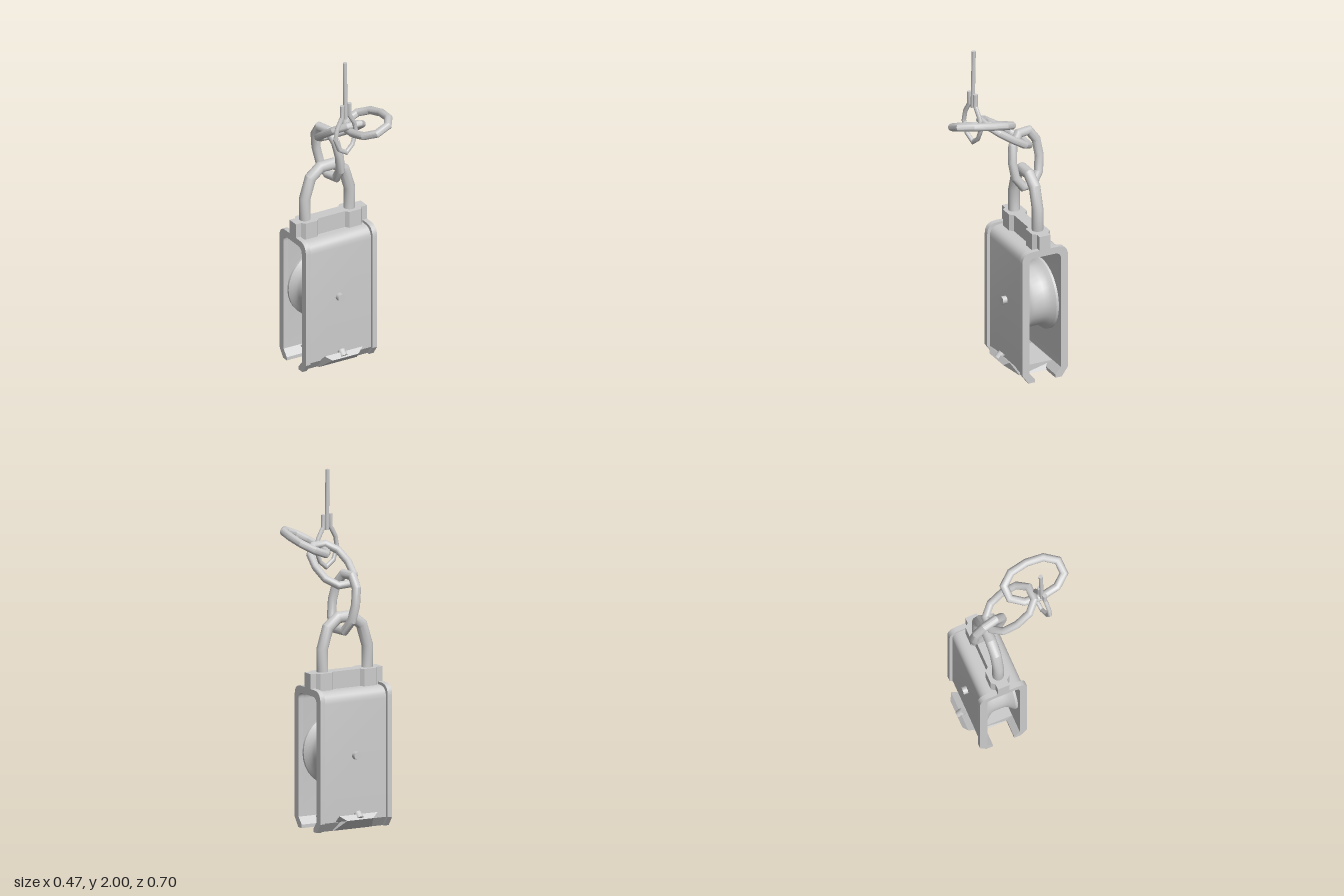
import * as THREE from 'three';
import { toCreasedNormals } from 'three/addons/utils/BufferGeometryUtils.js';

const material = new THREE.MeshStandardMaterial({ color: 0xcccccc });
const CZ = -0.155; // depth of the housing centre

function part(parent, name, geometry, x = 0, y = 0, z = 0) {
  const mesh = new THREE.Mesh(geometry, material);
  mesh.name = name;
  mesh.position.set(x, y, z);
  parent.add(mesh);
  return mesh;
}

// Round bar with mitred corners along a flat path in the xy plane
function bar(points, r, closed, sides = 16) {
  const pts = points.map(p => new THREE.Vector2(...p));
  const n = pts.length, pos = [], idx = [];
  pts.forEach((p, i) => {
    const prev = closed || i > 0 ? pts[(i + n - 1) % n] : null;
    const next = closed || i < n - 1 ? pts[(i + 1) % n] : null;
    const a = prev ? p.clone().sub(prev).normalize() : next.clone().sub(p).normalize();
    const b = next ? next.clone().sub(p).normalize() : a;
    const t = a.clone().add(b).normalize();
    const s = r / Math.max(0.5, t.dot(a));
    for (let j = 0; j < sides; j++) {
      const q = j / sides * Math.PI * 2, c = Math.cos(q) * s;
      pos.push(p.x - t.y * c, p.y + t.x * c, Math.sin(q) * r);
    }
  });
  for (let i = 0; i < (closed ? n : n - 1); i++) {
    const k = ((i + 1) % n) * sides;
    for (let j = 0; j < sides; j++) {
      const m = (j + 1) % sides, a = i * sides;
      idx.push(a + j, a + m, k + j, a + m, k + m, k + j);
    }
  }
  if (!closed) {
    const e = (n - 1) * sides;
    for (let j = 1; j < sides - 1; j++) idx.push(0, j + 1, j, e, e + j, e + j + 1);
  }
  const g = new THREE.BufferGeometry();
  g.setAttribute('position', new THREE.Float32BufferAttribute(pos, 3));
  g.setIndex(idx);
  return toCreasedNormals(g, 0.5);
}

// Closed oval link; the quarter outline is mirrored into four quadrants
function linkGeometry(w, l, r, quarter) {
  const right = [...quarter, ...quarter.filter(q => q[1] > 0).reverse().map(([x, y]) => [x, -y])];
  const all = [...right, ...right.map(([x, y]) => [-x, -y])];
  return bar(all.map(([x, y]) => [x * w, y * l]), r, true);
}

// Extrude a (z, y) outline along x, centred on x = 0
function acrossX(shape, width) {
  const g = new THREE.ExtrudeGeometry(shape, { depth: width, bevelEnabled: false, curveSegments: 5 });
  g.translate(0, 0, -width / 2).rotateY(-Math.PI / 2);
  return toCreasedNormals(g, 0.6);
}

// Inverted U with feet turned inward
function housingShape(h, top) {
  const s = new THREE.Shape();
  s.moveTo(h, 0.055);
  s.lineTo(h, top - 0.065);
  s.quadraticCurveTo(h, top, h - 0.065, top);
  s.lineTo(-h + 0.065, top);
  s.quadraticCurveTo(-h, top, -h, top - 0.065);
  s.lineTo(-h, 0.055);
  s.lineTo(-h + 0.04, 0);
  s.lineTo(-0.065, 0);
  s.lineTo(-0.065, 0.02);
  s.lineTo(-0.1, 0.06);
  s.lineTo(-0.1, 0.74);
  s.quadraticCurveTo(-0.1, 0.78, -0.06, 0.78);
  s.lineTo(0.06, 0.78);
  s.quadraticCurveTo(0.1, 0.78, 0.1, 0.74);
  s.lineTo(0.1, 0.06);
  s.lineTo(0.065, 0.02);
  s.lineTo(0.065, 0);
  s.lineTo(h - 0.04, 0);
  s.closePath();
  return s;
}

export function createModel() {
  const model = new THREE.Group();
  model.name = 'pulleyBlock';

  // Housing with raised rims on both open sides
  part(model, 'housing', acrossX(housingShape(0.128, 0.805), 0.412), 0, 0, CZ);
  for (const s of [-1, 1])
    part(model, 'housingRim', acrossX(housingShape(0.145, 0.82), 0.03), s * 0.22, 0, CZ);

  // Saddle block with two wider sockets for the shackle
  const half = [[0.235, 0.035], [0.2, 0.035], [0.183, 0.057], [0.105, 0.057], [0.088, 0.035]];
  const upper = [...half, ...half.map(([x, z]) => [-x, z]).reverse()];
  const outline = [...upper, ...upper.map(([x, z]) => [-x, -z])];
  const saddle = new THREE.ExtrudeGeometry(
    new THREE.Shape(outline.map(p => new THREE.Vector2(...p))), { depth: 0.113, bevelEnabled: false });
  part(model, 'saddle', saddle.rotateX(-Math.PI / 2), 0, 0.792, CZ);

  // Grooved wheel and axle
  const profile = [[0, -0.1], [0.21, -0.1], [0.21, -0.086], [0.195, -0.068], [0.182, -0.05], [0.177, -0.03],
    [0.177, 0.03], [0.182, 0.05], [0.195, 0.068], [0.21, 0.086], [0.21, 0.1], [0, 0.1]];
  const wheel = new THREE.LatheGeometry(profile.map(p => new THREE.Vector2(...p)), 32);
  part(model, 'wheel', toCreasedNormals(wheel.rotateX(Math.PI / 2), 0.6), 0, 0.43, CZ);
  part(model, 'axle', new THREE.CylinderGeometry(0.023, 0.023, 0.312, 16).rotateX(Math.PI / 2), -0.005, 0.43, CZ);

  // Bottom tray with upturned flaps, outer flap corners cut back
  const side = [[0.105, 0.003], [0.19, 0.07], [0.17, 0.098], [0.125, 0.058]];
  const tray = acrossX(new THREE.Shape([...side, ...side.map(([z, y]) => [-z, y]).reverse()]
    .map(p => new THREE.Vector2(...p))), 0.25);
  const tp = tray.attributes.position;
  for (let i = 0; i < tp.count; i++)
    if (Math.abs(tp.getZ(i)) > 0.18) tp.setX(i, Math.sign(tp.getX(i)) * 0.085);
  tray.computeVertexNormals();
  part(model, 'bottomTray', tray, 0, 0, CZ);
  for (const s of [-1, 1]) {
    const bolt = part(model, 'flapBolt', new THREE.CylinderGeometry(0.022, 0.022, 0.04, 12), -0.005, 0.087, CZ + s * 0.165);
    bolt.rotation.x = -s * 0.8;
  }

  // Shackle through the saddle
  part(model, 'shackle', linkGeometry(0.147, 0.24, 0.033,
    [[0.3, 1], [0.75, 0.78], [1, 0.28]]), -0.008, 0.967, CZ);

  // Loose chain links: centre, long direction, width direction, half width, half length, bar radius
  const quarter = [[0.38, 1], [0.87, 0.6], [1, 0]];
  const links = [
    [[-0.005, 1.29, -0.153], [-0.17, 1, 0], [0.22, 0, 1], 0.097, 0.158, 0.026],
    [[-0.005, 1.484, -0.018], [0.03, 0.6, 0.88], [1, 0, 0.05], 0.107, 0.163, 0.022],
    [[0.066, 1.59, 0.16], [0, 0.18, 1], [1, 0.4, 0], 0.105, 0.169, 0.023],
  ];
  for (const [c, long, wide, w, l, r] of links) {
    const y = new THREE.Vector3(...long).normalize();
    const z = new THREE.Vector3(...wide).cross(y).normalize();
    const x = y.clone().cross(z);
    const link = part(model, 'chainLink', linkGeometry(w, l, r, quarter), ...c);
    link.quaternion.setFromRotationMatrix(new THREE.Matrix4().makeBasis(x, y, z));
  }

  // Wire eye and hanging rod
  const eye = part(model, 'wireEye', bar([[-0.028, 1.74], [-0.028, 1.665], [-0.065, 1.605], [-0.078, 1.54],
    [-0.05, 1.47], [0.005, 1.435], [0.05, 1.47], [0.08, 1.54], [0.065, 1.605], [0.028, 1.665], [0.028, 1.74]],
    0.013, false, 12), -0.07, 0, 0.152);
  eye.rotation.y = 0.2;
  part(model, 'hangingRod', new THREE.CylinderGeometry(0.012, 0.012, 0.35, 12), -0.07, 1.825, 0.147).rotation.x = -0.02;

  return model;
}
